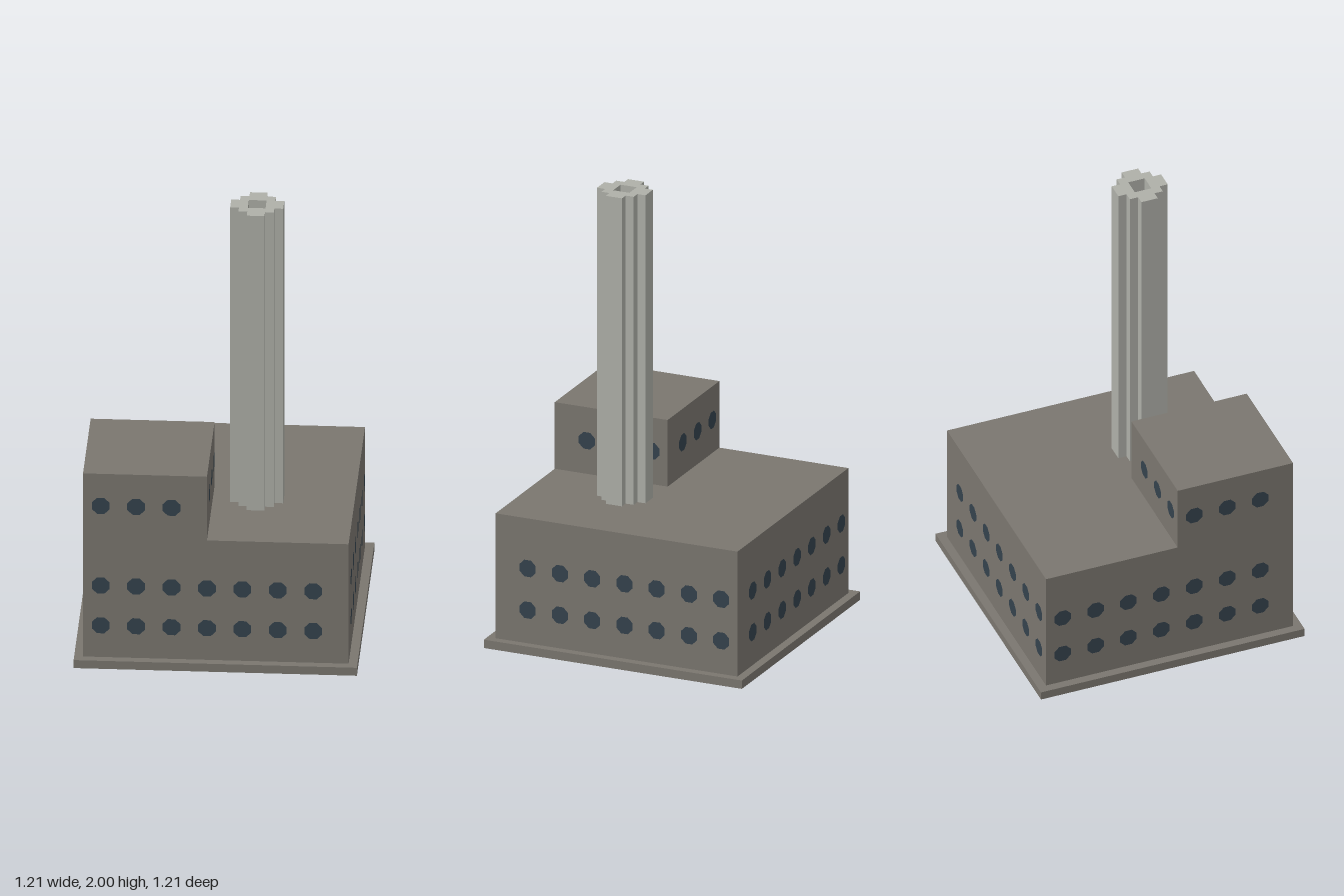
import * as THREE from 'three';

const U = 2 / 53; // building module

export function createModel() {
  const model = new THREE.Group();
  model.name = 'factory';

  const mat = (name, color) => {
    const m = new THREE.MeshStandardMaterial({ color });
    m.name = name;
    return m;
  };
  const wall = mat('warm grey wall', 0x7a766f);
  const pale = mat('pale chimney grey', 0xaeafa8);
  const glass = mat('dark blue glass', 0x34424d);

  const add = (parent, name, geometry, material) => {
    const mesh = new THREE.Mesh(geometry, material);
    mesh.name = name;
    parent.add(mesh);
    return mesh;
  };

  // Box given by its ranges in modules
  const box = (parent, name, [x0, x1], [y0, y1], [z0, z1], material) => {
    const g = new THREE.BoxGeometry((x1 - x0) * U, (y1 - y0) * U, (z1 - z0) * U);
    g.translate((x0 + x1) / 2 * U, (y0 + y1) / 2 * U, (z0 + z1) / 2 * U);
    return add(parent, name, g, material);
  };

  // Building masses
  box(model, 'basePlinth', [-16, 16], [0, 1], [-16, 16], wall);
  box(model, 'mainHall', [-15, 15], [1, 16], [-15, 15], wall);
  box(model, 'cornerTower', [-15, -1], [16, 24], [1, 15], wall);

  // Chimney: stepped cross plan with a square flue
  const chimney = new THREE.Group();
  chimney.name = 'chimney';
  chimney.position.set(4 * U, 16 * U, 4 * U);
  model.add(chimney);

  const quarter = [[3, -1], [3, 1], [2, 1], [2, 2], [1, 2], [1, 3]];
  const outline = [];
  for (let i = 0; i < 4; i++) {
    for (const [x, y] of quarter.slice(1)) {
      outline.push(new THREE.Vector2(x * U, y * U).rotateAround(new THREE.Vector2(), i * Math.PI / 2));
    }
  }
  const plan = new THREE.Shape(outline);
  const flue = [[-1, -1], [-1, 1], [1, 1], [1, -1]].map(([x, y]) => new THREE.Vector2(x * U, y * U));
  plan.holes.push(new THREE.Path(flue));
  const shaft = new THREE.ExtrudeGeometry(plan, { depth: 37 * U, bevelEnabled: false });
  shaft.rotateX(-Math.PI / 2);
  add(chimney, 'chimneyShaft', shaft, pale);
  box(chimney, 'flueFloor', [-1, 1], [0, 35], [-1, 1], pale);

  // Round windows, thin octagonal panes just proud of the walls
  const pane = new THREE.CircleGeometry(U / Math.cos(Math.PI / 8), 8, Math.PI / 8);
  const windows = new THREE.Group();
  windows.name = 'windows';
  model.add(windows);

  const windowRow = (name, axis, plane, dir, y, along) => {
    for (const a of along) {
      const w = add(windows, name, pane, glass);
      const p = plane * U + dir * 0.002;
      if (axis === 'z') {
        w.position.set(a * U, y * U, p);
        w.rotation.y = dir > 0 ? 0 : Math.PI;
      } else {
        w.position.set(p, y * U, a * U);
        w.rotation.y = dir * Math.PI / 2;
      }
    }
  };

  const hallSpots = [-13, -9, -5, -1, 3, 7, 11];
  for (const axis of ['x', 'z']) {
    for (const dir of [-1, 1]) {
      for (const y of [5, 10]) windowRow('hallWindow', axis, 15 * dir, dir, y, hallSpots);
    }
  }
  windowRow('towerWindow', 'z', 15, 1, 20, [-13, -9, -5]);
  windowRow('towerWindow', 'z', 1, -1, 20, [-13, -9, -5]);
  windowRow('towerWindow', 'x', -1, 1, 20, [3, 7, 11]);
  windowRow('towerWindow', 'x', -15, -1, 20, [3, 7, 11]);

  return model;
}
